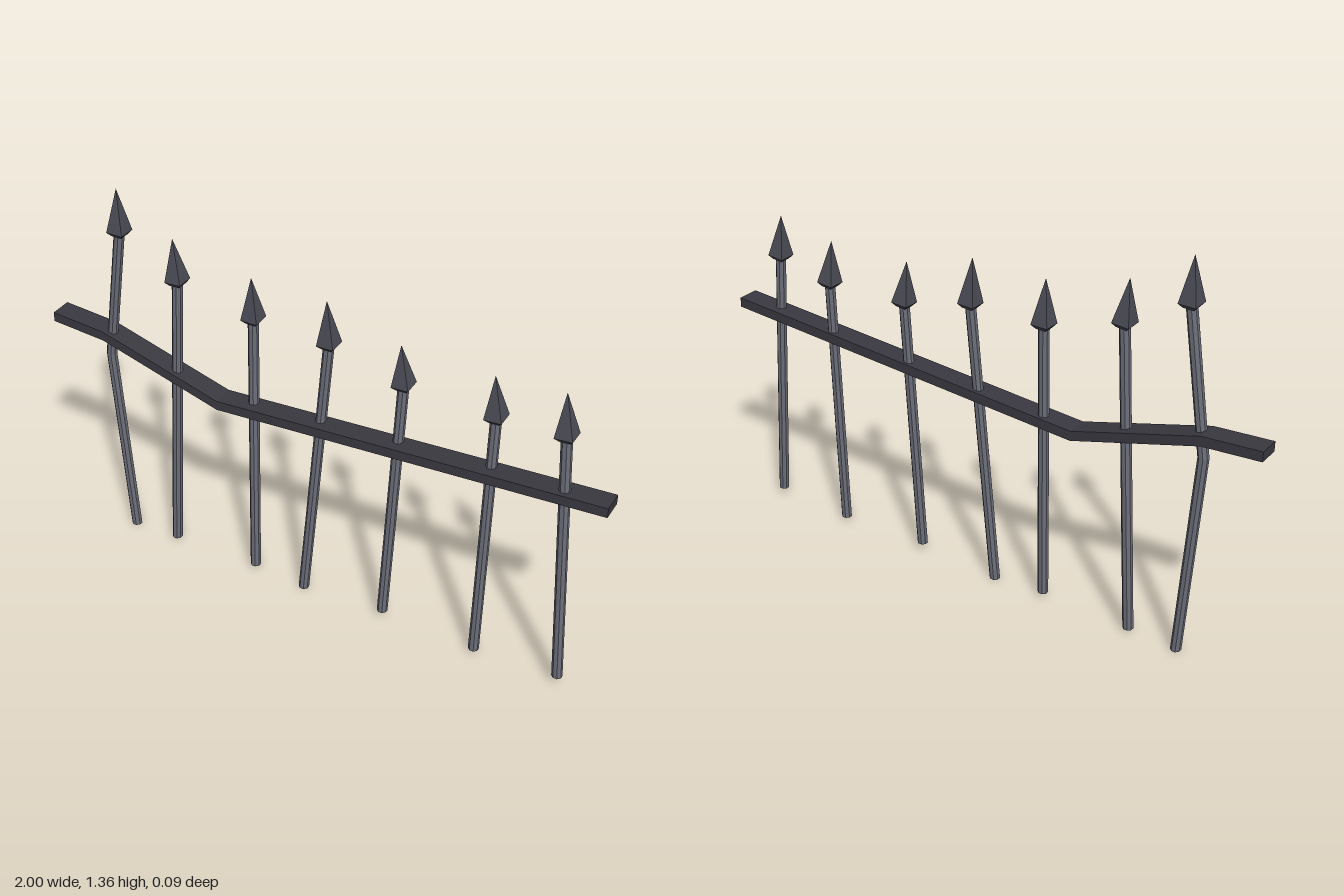
import * as THREE from 'three';

const shaftMat = new THREE.MeshStandardMaterial({ color: 0x6c6e79 });
shaftMat.name = 'grey iron';
const headMat = new THREE.MeshStandardMaterial({ color: 0x4b4b56 });
headMat.name = 'dark iron';
const railMat = new THREE.MeshStandardMaterial({ color: 0x3a3941 });
railMat.name = 'blackened iron';

function addMesh(parent, name, geometry, material) {
  const flat = geometry.index ? geometry.toNonIndexed() : geometry;
  flat.computeVertexNormals();
  const mesh = new THREE.Mesh(flat, material);
  mesh.name = name;
  parent.add(mesh);
  return mesh;
}

// Eight-sided bar whose level rings follow a list of points from bottom to top
function shaftGeometry(points, radius) {
  const n = points.length - 1;
  const g = new THREE.CylinderGeometry(radius, radius, n, 8, n);
  g.rotateY(Math.PI / 8);
  const p = g.attributes.position;
  for (let i = 0; i < p.count; i++) {
    const c = points[Math.round(p.getY(i) + n / 2)];
    p.setXYZ(i, p.getX(i) + c.x, c.y, p.getZ(i) + c.z);
  }
  return g;
}

// Four-sided spear head with a short reverse taper under its widest line
function addHead(parent, base, apex) {
  const dir = apex.clone().sub(base);
  const length = dir.length();
  const head = new THREE.Group();
  head.name = 'spearHead';
  const tip = new THREE.CylinderGeometry(0, 0.042, length, 4, 1, true);
  tip.rotateY(Math.PI / 4).translate(0, length / 2, 0);
  const collar = new THREE.CylinderGeometry(0.042, 0.026, 0.014, 4);
  collar.rotateY(Math.PI / 4).translate(0, -0.007, 0);
  addMesh(head, 'headTip', tip, headMat);
  addMesh(head, 'headCollar', collar, headMat);
  head.position.copy(base);
  head.quaternion.setFromUnitVectors(new THREE.Vector3(0, 1, 0), dir.normalize());
  parent.add(head);
}

export function createModel() {
  const fence = new THREE.Group();
  fence.name = 'bentIronFence';

  // Bent horizontal rail
  const line = [[-1, 0.813], [-0.8, 0.799], [-0.355, 0.672], [1, 0.765]];
  const half = 0.017;
  const outline = [
    ...line.map(([x, y]) => new THREE.Vector2(x, y - half)),
    ...line.map(([x, y]) => new THREE.Vector2(x, y + half)).reverse(),
  ];
  const rail = new THREE.ExtrudeGeometry(new THREE.Shape(outline), { depth: 0.076, bevelEnabled: false });
  rail.translate(0, 0, -0.038);
  addMesh(fence, 'rail', rail, railMat);

  // Pickets: path points from the foot to the head's base, then the apex
  const pickets = [
    { path: [[-0.743, 0, 0.008], [-0.792, 0.72, 0.006], [-0.72, 1.205, 0.006]], apex: [-0.722, 1.355, 0.004] },
    { path: [[-0.567, 0.01, 0.008], [-0.507, 1.085, 0.004]], apex: [-0.519, 1.232, 0.002] },
    { path: [[-0.239, 0.02, 0.008], [-0.239, 1.015, -0.018]], apex: [-0.24, 1.165, -0.013] },
    { path: [[-0.045, 0, 0.008], [0.036, 1.01, -0.016]], apex: [0.03, 1.165, -0.012] },
    { path: [[0.26, 0.028, 0.008], [0.296, 0.945, -0.018]], apex: [0.286, 1.088, -0.013] },
    { path: [[0.6, 0.013, 0.008], [0.606, 0.935, -0.018]], apex: [0.596, 1.083, -0.013] },
    { path: [[0.895, 0.032, 0.008], [0.839, 0.967, 0.006]], apex: [0.826, 1.113, 0.004] },
  ];
  for (const { path, apex } of pickets) {
    const picket = new THREE.Group();
    picket.name = 'picket';
    const points = path.map((p) => new THREE.Vector3(...p));
    addMesh(picket, 'shaft', shaftGeometry(points, 0.018), shaftMat);
    addHead(picket, points[points.length - 1], new THREE.Vector3(...apex));
    fence.add(picket);
  }
  return fence;
}
